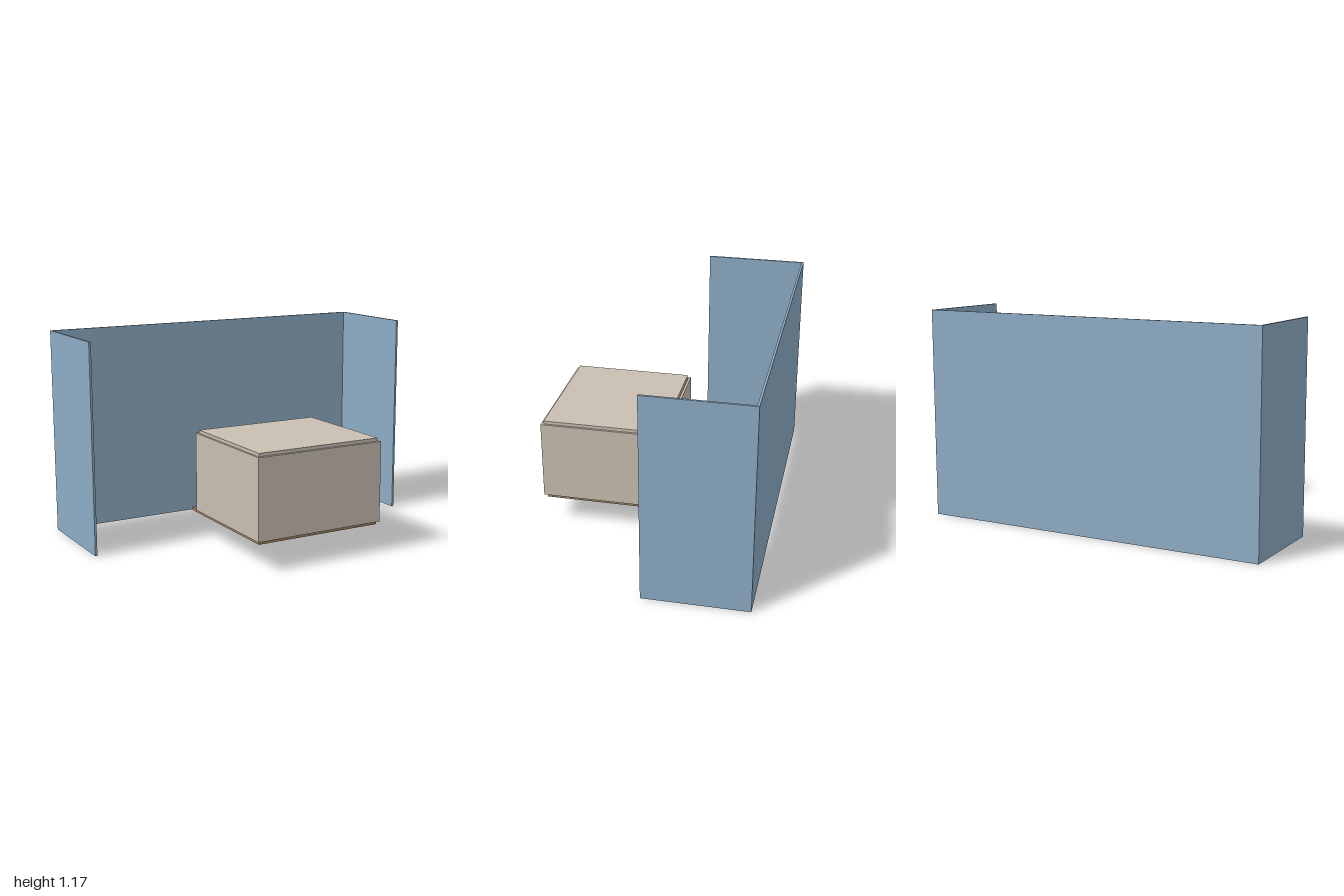
import * as THREE from 'three';

const mat = (name, color) => {
  const m = new THREE.MeshStandardMaterial({ color });
  m.name = name;
  return m;
};

export function createModel() {
  const blue = mat('blue screen', 0x8dabc4);
  const tan = mat('tan wall', 0xc9beb1);
  const brown = mat('brown floor', 0x9a7e5e);
  const cream = mat('cream pane', 0xe6dac8);
  const dark = mat('dark trim', 0x5c4a3a);

  const model = new THREE.Group();
  model.name = 'roomWithBayWindow';

  const add = (name, geometry, material, parent = model) => {
    const mesh = new THREE.Mesh(geometry, material);
    mesh.name = name;
    parent.add(mesh);
    return mesh;
  };
  // Box given by its lower and upper limits on each axis
  const block = (name, material, [x0, x1], [y0, y1], [z0, z1], parent) => {
    const mesh = add(name, new THREE.BoxGeometry(x1 - x0, y1 - y0, z1 - z0), material, parent);
    mesh.position.set((x0 + x1) / 2, (y0 + y1) / 2, (z0 + z1) / 2);
    return mesh;
  };

  // Three-sided screen behind the room
  const H = 1.168;
  block('backScreen', blue, [-1, 1], [0, H], [-0.64, -0.628]);
  for (const s of [-1, 1]) {
    const x = s < 0 ? [-1, -0.988] : [0.988, 1];
    block(s < 0 ? 'rightScreen' : 'leftScreen', blue, x, [0, H], [-0.628, -0.06]);
  }

  // Floor runs out under the bay; roof slab sits inside the wall line
  block('floor', brown, [-0.37, 0.37], [0.152, 0.17], [-0.138, 0.622]);
  block('roof', tan, [-0.37, 0.37], [0.61, 0.636], [-0.042, 0.622]);

  // Hollow room walls
  const wallY = [0.17, 0.618];
  block('frontWall', tan, [-0.382, 0.382], wallY, [0.622, 0.638]);
  block('leftWall', tan, [0.368, 0.382], wallY, [-0.046, 0.622]);
  block('rightWall', tan, [-0.382, -0.368], wallY, [-0.046, 0.622]);

  // Back wall with the bay opening cut out
  const y0 = 0.24, y1 = 0.53;
  const wall = new THREE.Shape([
    [-0.382, 0.17], [0.382, 0.17], [0.382, 0.618], [-0.382, 0.618],
  ].map((p) => new THREE.Vector2(...p)));
  wall.holes.push(new THREE.Path([
    [-0.155, y0], [-0.155, y1], [0.155, y1], [0.155, y0],
  ].map((p) => new THREE.Vector2(...p))));
  add('backWall', new THREE.ExtrudeGeometry(wall, { depth: 0.014, bevelEnabled: false }), tan)
    .position.z = -0.06;

  // Bay window
  const bay = new THREE.Group();
  bay.name = 'bayWindow';
  model.add(bay);
  const plan = [[0.165, -0.06], [0.108, -0.138], [-0.108, -0.138], [-0.165, -0.06]];

  const slab = (name, material, grow, y, height) => {
    const shape = new THREE.Shape(plan.map(([x, z], i) => new THREE.Vector2(
      x + Math.sign(x) * grow, -z + (i === 1 || i === 2 ? grow : 0))));
    const g = new THREE.ExtrudeGeometry(shape, { depth: height, bevelEnabled: false });
    g.rotateX(-Math.PI / 2);
    add(name, g, material, bay).position.y = y;
  };
  slab('baySill', brown, 0.005, y0, 0.012);
  slab('bayRoofRim', dark, 0.006, y1 - 0.012, 0.012);
  slab('bayRoof', tan, -0.002, y1, 0.006);

  // Each bay side: a pane framed by rails and uprights
  ['leftSide', 'front', 'rightSide'].forEach((name, i) => {
    const [ax, az] = plan[i], [bx, bz] = plan[i + 1];
    const w = Math.hypot(bx - ax, bz - az), f = 0.008;
    const side = new THREE.Group();
    side.name = name;
    side.position.set((ax + bx) / 2, 0, (az + bz) / 2);
    side.rotation.y = Math.atan2(-(bz - az), bx - ax);
    bay.add(side);
    const lo = y0 + 0.012, hi = y1 - 0.012, d = [-0.004, 0.004];
    block('pane', cream, [-w / 2, w / 2], [lo, hi], [-0.002, 0.002], side);
    block('bottomRail', brown, [-w / 2, w / 2], [lo, lo + f], d, side);
    block('topRail', brown, [-w / 2, w / 2], [hi - f, hi], d, side);
    const uprights = i === 1 ? [-w / 2 + f / 2, 0, w / 2 - f / 2] : [-w / 2 + f / 2, w / 2 - f / 2];
    uprights.forEach((x) => block('upright', brown, [x - f / 2, x + f / 2], [lo + f, hi - f], d, side));
  });

  return model;
}
